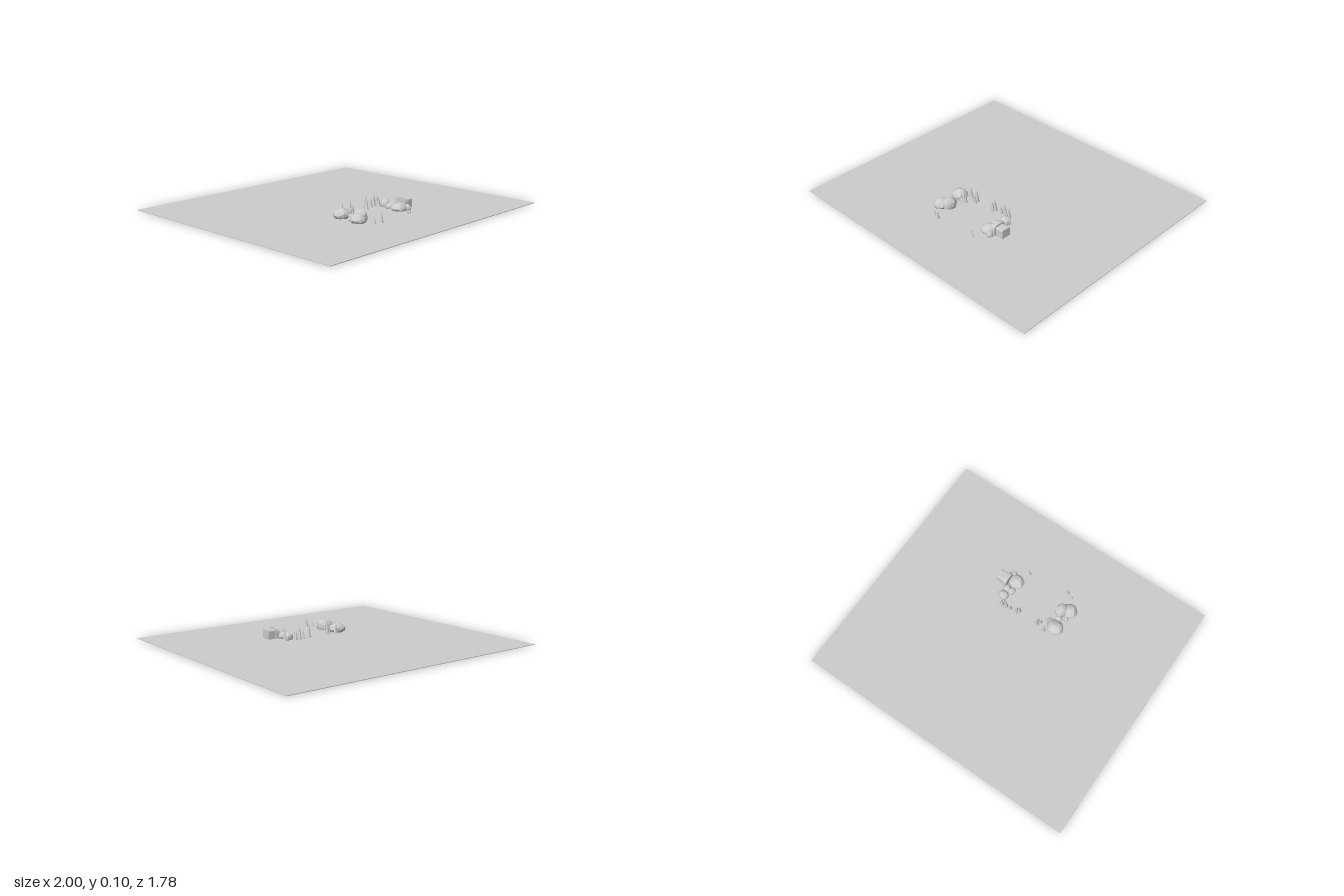
import * as THREE from 'three';

const stone = new THREE.MeshStandardMaterial({ color: 0xcccccc, flatShading: true });
stone.name = 'pale grey';
const GROUND = 0.004;

function add(parent, name, geometry, x, y, z) {
  const mesh = new THREE.Mesh(geometry, stone);
  mesh.name = name;
  mesh.position.set(x, y, z);
  parent.add(mesh);
  return mesh;
}

// Faceted boulder: a low-poly ball with uneven corners and a flat foot
function boulderGeometry(rx, height, rz, seed) {
  const g = new THREE.IcosahedronGeometry(1, 1);
  const p = g.attributes.position;
  const v = new THREE.Vector3();
  for (let i = 0; i < p.count; i++) {
    v.fromBufferAttribute(p, i);
    const k = 0.95 + 0.07 * Math.sin(v.x * 5 + seed) * Math.cos(v.z * 4 + seed * 2) + 0.04 * Math.sin(v.y * 6 + seed);
    v.multiplyScalar(k);
    const y = Math.max(v.y, -0.55);
    p.setXYZ(i, v.x * rx, ((y + 0.55) / 1.55) * height, v.z * rz);
  }
  g.computeVertexNormals();
  return g;
}

// Slender conifer: two stacked six-sided cones over a short trunk
function conifer(parent, x, z, height, radius, turn) {
  const tree = new THREE.Group();
  tree.name = 'conifer';
  tree.position.set(x, 0, z);
  tree.rotation.y = turn;
  add(tree, 'trunk', new THREE.CylinderGeometry(radius * 0.3, radius * 0.3, height * 0.16, 6), 0, height * 0.08, 0);
  add(tree, 'lowerBranches', new THREE.ConeGeometry(radius, height * 0.65, 6), 0, height * 0.43, 0);
  add(tree, 'upperBranches', new THREE.ConeGeometry(radius * 0.68, height * 0.6, 6), 0, height * 0.7, 0);
  parent.add(tree);
}

export function createModel() {
  const model = new THREE.Group();
  model.name = 'rockyClearing';

  // Wide thin ground sheet
  add(model, 'ground', new THREE.BoxGeometry(2, 0.004, 1.78), 0, GROUND, 0);

  // Boulders: x, z, x radius, height, z radius
  const boulders = [
    [-0.212, 0.228, 0.064, 0.072, 0.056],
    [-0.230, 0.385, 0.056, 0.066, 0.056],
    [-0.182, 0.355, 0.046, 0.078, 0.054],
    [-0.200, 0.300, 0.027, 0.045, 0.024],
    [-0.240, 0.325, 0.016, 0.030, 0.016],
    [0.192, 0.360, 0.060, 0.056, 0.055],
    [0.210, 0.228, 0.040, 0.058, 0.034],
    [0.182, 0.285, 0.028, 0.042, 0.028],
    [0.215, 0.280, 0.032, 0.052, 0.034],
    [0.235, 0.395, 0.024, 0.045, 0.026],
  ];
  boulders.forEach(([x, z, rx, h, rz], i) => {
    add(model, 'boulder', boulderGeometry(rx, h, rz, i * 1.7 + 0.5), x, 0.001, z);
  });

  // Conifers: x, z, height, radius
  const conifers = [
    [-0.158, 0.175, 0.090, 0.015], [-0.150, 0.252, 0.085, 0.020],
    [-0.168, 0.258, 0.080, 0.016], [-0.140, 0.245, 0.075, 0.015],
    [-0.093, 0.185, 0.098, 0.018], [-0.090, 0.208, 0.070, 0.015],
    [-0.108, 0.210, 0.060, 0.014],
    [0.058, 0.193, 0.085, 0.018], [0.068, 0.178, 0.100, 0.017],
    [0.120, 0.175, 0.072, 0.016], [0.152, 0.172, 0.100, 0.018],
    [0.185, 0.170, 0.085, 0.017], [0.182, 0.190, 0.070, 0.014],
    [0.240, 0.220, 0.065, 0.014],
    [-0.185, 0.480, 0.045, 0.009], [-0.140, 0.497, 0.072, 0.016],
    [0.150, 0.465, 0.050, 0.010], [0.167, 0.475, 0.040, 0.009],
  ];
  conifers.forEach(([x, z, h, r], i) => conifer(model, x, z, h, r, i * 1.1));

  // Arched slab and the block standing against its outer side
  const slab = (w, h, c, depth) => {
    const s = new THREE.Shape();
    s.moveTo(-w / 2, 0);
    s.lineTo(w / 2, 0);
    s.lineTo(w / 2, h - c);
    s.quadraticCurveTo(w / 2, h, w / 2 - c, h);
    s.lineTo(-w / 2 + c, h);
    s.quadraticCurveTo(-w / 2, h, -w / 2, h - c);
    s.closePath();
    const g = new THREE.ExtrudeGeometry(s, { depth, bevelEnabled: false, curveSegments: 4 });
    return g.rotateY(Math.PI / 2);
  };
  add(model, 'archedSlab', slab(0.09, 0.08, 0.035, 0.027), 0.235, 0.001, 0.335);
  add(model, 'block', slab(0.068, 0.067, 0.012, 0.062), 0.257, 0.001, 0.332);

  return model;
}
